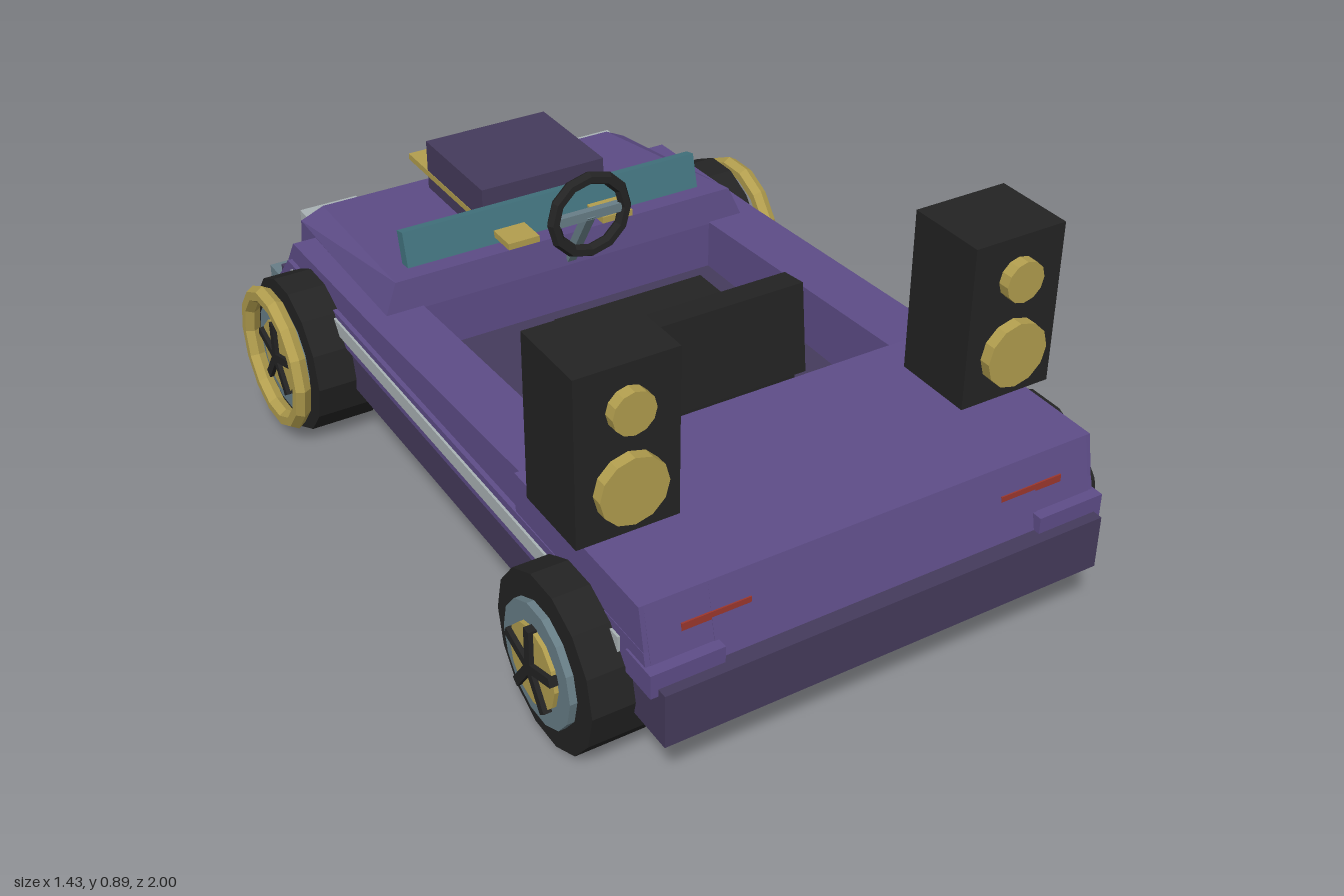
import * as THREE from 'three';
import { ConvexGeometry } from 'three/addons/geometries/ConvexGeometry.js';

const colours = {
  purple: 0x5e4d88, darkPurple: 0x453b5c, black: 0x232323, gold: 0xb29e4e, teal: 0x437580,
  steel: 0x687e87, silver: 0xa9b2b4, red: 0x9c372e,
};

export function createModel() {
  const root = new THREE.Group();
  root.name = 'buggy';
  const mats = {};
  for (const [name, hex] of Object.entries(colours)) {
    mats[name] = new THREE.MeshStandardMaterial({ color: hex });
    mats[name].name = name;
  }

  // faceted mesh
  function add(name, geo, mat, parent = root) {
    const g = geo.index ? geo.toNonIndexed() : geo;
    g.computeVertexNormals();
    const m = new THREE.Mesh(g, mats[mat]);
    m.name = name;
    parent.add(m);
    return m;
  }
  // box from its limits
  function box(name, mat, [x0, x1], [y0, y1], [z0, z1], parent = root) {
    const g = new THREE.BoxGeometry(x1 - x0, y1 - y0, z1 - z0);
    g.translate((x0 + x1) / 2, (y0 + y1) / 2, (z0 + z1) / 2);
    return add(name, g, mat, parent);
  }
  // side profile of [z, y] points extruded from x0 to x1
  function profile(name, mat, x0, x1, pts, parent = root) {
    const shape = new THREE.Shape(pts.map((p) => new THREE.Vector2(p[0], p[1])));
    const g = new THREE.ExtrudeGeometry(shape, { depth: x1 - x0, bevelEnabled: false });
    g.rotateY(-Math.PI / 2).translate(x1, 0, 0);
    return add(name, g, mat, parent);
  }
  // mirrored x range for one side
  const span = (s, a, b) => (s > 0 ? [a, b] : [-b, -a]);

  // chassis and body tub
  box('chassis', 'darkPurple', [-0.555, 0.555], [0.172, 0.305], [-0.95, 1]);
  profile('rearDeck', 'purple', -0.41, 0.41,
    [[0.96, 0.3], [0.92, 0.475], [0.41, 0.475], [0.41, 0.3]]);
  const hood = [];
  for (const s of [-1, 1]) {
    for (const [x, y, z] of [[0.51, 0.3, -0.365], [0.51, 0.43, -0.365], [0.475, 0.513, -0.375],
      [0.43, 0.452, -0.935], [0.49, 0.42, -0.945], [0.49, 0.29, -0.972]]) {
      hood.push(new THREE.Vector3(s * x, y, z));
    }
  }
  add('hood', new ConvexGeometry(hood), 'purple');

  for (const s of [-1, 1]) {
    // sides
    profile('bodySide', 'purple', ...span(s, 0.41, 0.556),
      [[0.96, 0.29], [0.92, 0.475], [0.41, 0.475], [-0.36, 0.435], [-0.84, 0.42], [-0.93, 0.29]]);
    profile('lowerSide', 'purple', ...span(s, 0.5, 0.568),
      [[0.96, 0.29], [0.94, 0.375], [-0.86, 0.365], [-0.93, 0.29]]);
    profile('rearQuarter', 'purple', ...span(s, 0.53, 0.567),
      [[0.94, 0.375], [0.92, 0.475], [0.41, 0.475], [0.41, 0.375]]);
    box('rearCorner', 'purple', span(s, 0.4, 0.573), [0.287, 0.345], [0.88, 0.975]);
    box('sideStripe', 'silver', span(s, 0.567, 0.574), [0.315, 0.353], [-0.83, 0.85]);
    // lights
    box('tailLight', 'red', span(s, 0.317, 0.48), [0.335, 0.41], [0.9, 0.938]);
    box('headlight', 'silver', span(s, 0.31, 0.47), [0.35, 0.42], [-1, -0.94]);

    // speakers
    const speaker = new THREE.Group();
    speaker.name = 'speaker';
    root.add(speaker);
    box('cabinet', 'black', span(s, 0.36, 0.6), [0.5, 0.9], [0.53, 0.735], speaker);
    box('cabinetStrip', 'teal', span(s, 0.455, 0.505), [0.53, 0.767], [0.521, 0.535], speaker);
    for (const [r, y] of [[0.05, 0.8], [0.08, 0.617]]) {
      const cone = new THREE.CylinderGeometry(r, r, 0.03, 12);
      cone.rotateX(Math.PI / 2).translate(s * 0.48, y, 0.748);
      add('speakerCone', cone, 'gold', speaker);
    }

    // engine mounting rails
    box('engineRail', 'gold', span(s, 0.09, 0.176), [0.523, 0.54], [-0.935, -0.36]);

    // wheels, outer face along local +x
    for (const front of [false, true]) {
      const wheel = new THREE.Group();
      wheel.name = front ? 'frontWheel' : 'rearWheel';
      const disc = (name, mat, r, x0, x1, sides) => {
        const g = new THREE.CylinderGeometry(r, r, x1 - x0, sides);
        g.rotateZ(Math.PI / 2).translate((x0 + x1) / 2, 0, 0);
        add(name, g, mat, wheel);
      };
      disc('tyre', 'black', 0.203, 0, 0.165, 14);
      disc('rim', 'steel', 0.143, 0.1, 0.182, 14);
      disc('hub', 'gold', 0.097, 0.1, 0.192, 12);
      for (let i = 0; i < 5; i++) {
        const spoke = new THREE.BoxGeometry(0.02, 0.1, 0.022);
        spoke.translate(0.193, 0.05, 0).rotateX((i * Math.PI * 2) / 5);
        add('spoke', spoke, 'black', wheel);
      }
      if (front) {
        const ring = new THREE.TorusGeometry(0.168, 0.023, 6, 14);
        ring.rotateY(Math.PI / 2).translate(0.205, 0.014, s * 0.02);
        // keep the ring offset towards the rear on both sides
        add('wheelRing', ring, 'gold', wheel);
      }
      wheel.position.set(s * 0.49, 0.203, front ? -0.683 : 0.686);
      if (s < 0) wheel.rotation.y = Math.PI;
      root.add(wheel);
    }
  }

  // front bumper
  box('bumper', 'steel', [-0.572, 0.572], [0.213, 0.288], [-0.99, -0.93]);

  // engine block and windscreen
  box('engineBlock', 'darkPurple', [-0.175, 0.172], [0.49, 0.625], [-0.82, -0.5]);
  profile('windscreen', 'teal', -0.415, 0.415,
    [[-0.43, 0.495], [-0.455, 0.595], [-0.487, 0.587], [-0.462, 0.485]]);

  // seat
  box('seatBase', 'black', [-0.203, 0.203], [0.305, 0.48], [-0.08, 0.33]);
  profile('seatBack', 'black', -0.2, 0.2,
    [[0.376, 0.455], [0.35, 0.677], [0.278, 0.668], [0.302, 0.455]]);
  profile('seatPad', 'darkPurple', -0.155, 0.155,
    [[0.305, 0.485], [0.285, 0.65], [0.262, 0.648], [0.282, 0.485]]);

  // steering wheel and column
  const steering = new THREE.Group();
  steering.name = 'steeringWheel';
  steering.position.set(0, 0.618, -0.267);
  root.add(steering);
  add('steeringRing', new THREE.TorusGeometry(0.1, 0.017, 6, 12), 'black', steering);
  box('steeringSpokes', 'steel', [-0.09, 0.09], [-0.012, 0.012], [-0.012, 0.008], steering);
  const column = box('steeringColumn', 'steel', [-0.012, 0.012], [-0.2, 0], [-0.012, 0.012], steering);
  column.rotation.x = 0.55;

  return root;
}
